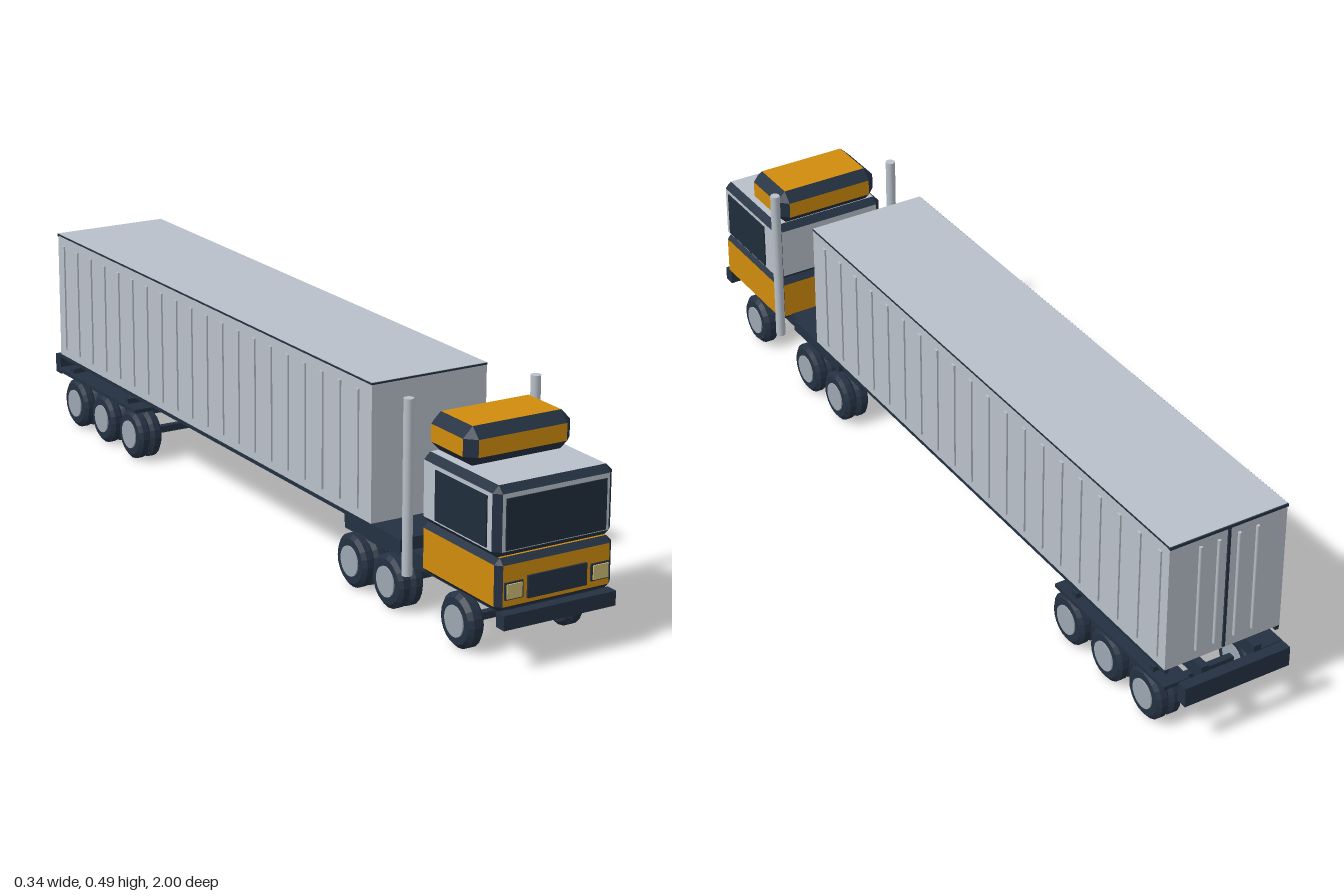
import * as THREE from 'three';
import { ConvexGeometry } from 'three/addons/geometries/ConvexGeometry.js';

const mat = (name, color) => {
  const m = new THREE.MeshStandardMaterial({ color });
  m.name = name;
  return m;
};

export function createModel() {
  const truck = new THREE.Group();
  truck.name = 'articulatedTruck';
  const silver = mat('silver', 0xb8c0ca);
  const dark = mat('darkBlue', 0x243142);
  const glass = mat('glass', 0x202c3c);
  const orange = mat('orange', 0xd08c0c);
  const lamp = mat('lampYellow', 0xcdbc74);
  const hubGrey = mat('hubGrey', 0x9ca5b0);

  const add = (name, geo, m, parent = truck) => {
    const mesh = new THREE.Mesh(geo, m);
    mesh.name = name;
    parent.add(mesh);
    return mesh;
  };
  // Box given by its limits on each axis
  const box = (name, m, [x0, x1], [y0, y1], [z0, z1], parent) => {
    const mesh = add(name, new THREE.BoxGeometry(x1 - x0, y1 - y0, z1 - z0), m, parent);
    mesh.position.set((x0 + x1) / 2, (y0 + y1) / 2, (z0 + z1) / 2);
    return mesh;
  };
  // Chamfered box: flat faces in one colour, bevels in another
  const chamferBox = (name, faceMat, hx, [y0, y1], [z0, z1], c) => {
    const h = [hx, (y1 - y0) / 2, (z1 - z0) / 2];
    const points = [];
    for (const sx of [-1, 1]) for (const sy of [-1, 1]) for (const sz of [-1, 1])
      for (let axis = 0; axis < 3; axis++) {
        const v = h.map((e, i) => (i === axis ? e : e - c));
        points.push(new THREE.Vector3(sx * v[0], sy * v[1], sz * v[2]));
      }
    const geo = new ConvexGeometry(points);
    const n = geo.attributes.normal;
    for (let i = 0; i < n.count; i += 3) {
      const flat = Math.max(Math.abs(n.getX(i)), Math.abs(n.getY(i)), Math.abs(n.getZ(i))) > 0.99;
      geo.addGroup(i, 3, flat ? 0 : 1);
    }
    add(name, geo, [faceMat, dark]).position.set(0, (y0 + y1) / 2, (z0 + z1) / 2);
  };

  // Cab
  chamferBox('lowerCab', orange, 0.143, [0.123, 0.237], [0.702, 0.983], 0.013);
  chamferBox('upperCab', silver, 0.145, [0.235, 0.387], [0.702, 0.977], 0.015);
  chamferBox('roofDeflector', orange, 0.131, [0.386, 0.47], [0.697, 0.858], 0.023);
  box('windscreen', glass, [-0.122, 0.122], [0.253, 0.362], [0.974, 0.98]);
  box('grille', dark, [-0.072, 0.072], [0.146, 0.194], [0.98, 0.988]);
  box('frontBumper', dark, [-0.137, 0.137], [0.093, 0.125], [0.972, 1]);

  // Tractor chassis and coupling
  box('tractorChassis', dark, [-0.112, 0.112], [0.108, 0.138], [0.36, 0.975]);
  box('couplingPlate', dark, [-0.144, 0.144], [0.142, 0.17], [0.41, 0.628]);
  box('turntable', dark, [-0.07, 0.07], [0.135, 0.145], [0.41, 0.6]);

  // Trailer frame
  for (let i = 0; i <= 6; i++) {
    const z = 0.36 - i * 0.21;
    box('crossMember', dark, [-0.07, 0.07], [0.143, 0.168], [z - 0.01, z + 0.01]);
  }
  box('rearBumper', dark, [-0.131, 0.131], [0.108, 0.155], [-1, -0.974]);

  // Cargo box
  const container = new THREE.Group();
  container.name = 'cargoBox';
  truck.add(container);
  box('cargoBody', silver, [-0.144, 0.144], [0.17, 0.481], [-0.943, 0.515], container);
  box('rearTopTrim', dark, [-0.145, 0.145], [0.474, 0.48], [-0.946, -0.94], container);
  box('frontTopTrim', dark, [-0.145, 0.145], [0.476, 0.48], [0.51, 0.516], container);
  box('doorSeam', dark, [-0.003, 0.003], [0.175, 0.474], [-0.947, -0.94], container);
  for (const x of [-0.07, -0.025, 0.025, 0.07])
    add('doorRod', new THREE.CylinderGeometry(0.004, 0.004, 0.26, 8), silver, container)
      .position.set(x, 0.325, -0.946);

  // Wheel turned around the x axis, with a bevelled tyre and a proud hub
  const tyreGeo = (w) => {
    const p = [[0.03, -w / 2], [0.05, -w / 2], [0.06, -w / 4], [0.06, w / 4], [0.05, w / 2], [0.03, w / 2]];
    const g = new THREE.LatheGeometry(p.map(([r, y]) => new THREE.Vector2(r, y)), 20).toNonIndexed();
    g.computeVertexNormals();
    return g.rotateZ(Math.PI / 2);
  };
  const wheel = (side, z, twin) => {
    const g = new THREE.Group();
    g.name = twin ? 'twinWheel' : 'steeringWheel';
    g.position.set(0, 0.06, z);
    truck.add(g);
    const w = twin ? 0.03 : 0.038;
    for (const x of twin ? [0.098, 0.129] : [0.125])
      add('tyre', tyreGeo(w), dark, g).position.x = side * x;
    const inner = twin ? 0.081 : 0.104;
    const hub = add('hub', new THREE.CylinderGeometry(0.034, 0.034, 0.147 - inner, 20), hubGrey, g);
    hub.rotation.z = Math.PI / 2;
    hub.position.x = side * (0.147 + inner) / 2;
  };

  // Axles
  for (const z of [0.835, 0.575, 0.432, -0.58, -0.725, -0.87])
    box('axle', dark, [-0.11, 0.11], [0.052, 0.068], [z - 0.008, z + 0.008]);

  // Everything mirrored left and right
  for (const s of [-1, 1]) {
    const span = (a, b) => (s > 0 ? [a, b] : [-b, -a]);
    wheel(s, 0.835, false);
    for (const z of [0.575, 0.432, -0.58, -0.725, -0.87]) wheel(s, z, true);

    box('sideWindow', glass, span(0.142, 0.148), [0.255, 0.363], [0.762, 0.946]);
    box('headlightFrame', dark, span(0.083, 0.127), [0.151, 0.188], [0.98, 0.987]);
    box('headlight', lamp, span(0.087, 0.124), [0.154, 0.185], [0.982, 0.99]);

    add('exhaustStack', new THREE.CylinderGeometry(0.0115, 0.0115, 0.384, 10), silver)
      .position.set(s * 0.157, 0.302, 0.676);

    box('frameRail', dark, span(0.057, 0.075), [0.135, 0.17], [-0.975, 0.41]);
    box('sill', dark, span(0.134, 0.143), [0.16, 0.17], [-0.943, 0.515]);
    box('mudguard', dark, span(0.085, 0.149), [0.124, 0.133], [-0.95, -0.54]);
    for (const z of [-0.6, -0.89])
      box('mudguardBracket', dark, span(0.06, 0.14), [0.13, 0.145], [z - 0.008, z + 0.008]);
    box('sideTopTrim', dark, span(0.14, 0.145), [0.476, 0.48], [-0.945, 0.515], container);

    // Side ribs of the cargo box
    for (let i = 0; i < 20; i++) {
      const z = 0.46 - i * 0.0722;
      box('sideRib', silver, span(0.142, 0.148), [0.19, 0.455], [z - 0.006, z + 0.006], container);
    }
  }
  return truck;
}
